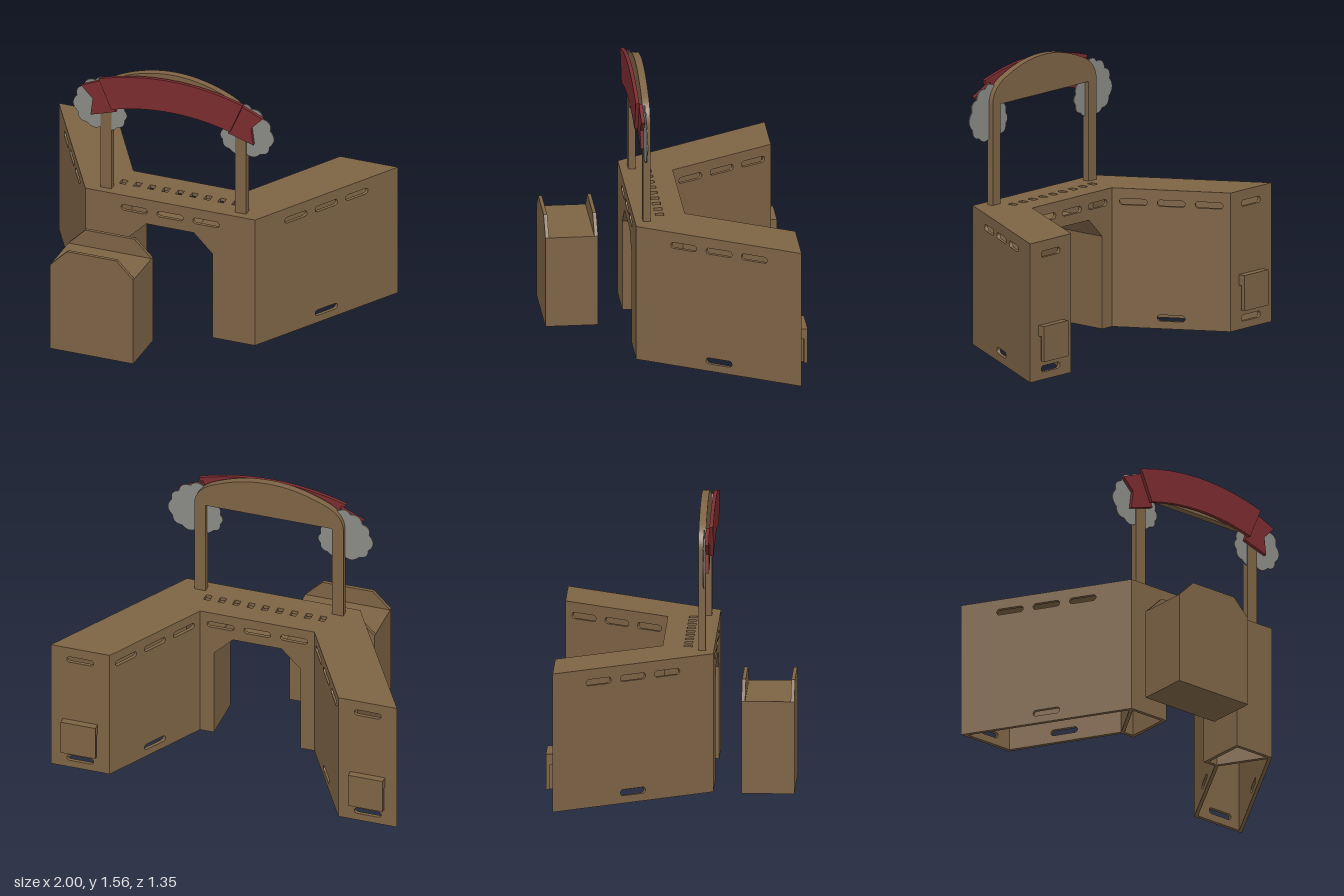
import * as THREE from 'three';

const T = 0.02; // board thickness

export function createModel() {
  const root = new THREE.Group();
  root.name = 'playCounter';
  const wood = new THREE.MeshStandardMaterial({ color: 0x7d6345 });
  wood.name = 'wood';
  const red = new THREE.MeshStandardMaterial({ color: 0x7b2c2f });
  red.name = 'red';
  const grey = new THREE.MeshStandardMaterial({ color: 0x8a8a86 });
  grey.name = 'grey';

  const add = (name, geo, mat, parent = root) => {
    const m = new THREE.Mesh(geo, mat);
    m.name = name;
    parent.add(m);
    return m;
  };
  const box = (name, w, h, d, x, y, z, parent) => {
    const m = add(name, new THREE.BoxGeometry(w, h, d), wood, parent);
    m.position.set(x, y, z);
    return m;
  };
  const poly = (pts) => new THREE.Shape(pts.map((p) => new THREE.Vector2(p[0], p[1])));
  const extrude = (shape, depth) =>
    new THREE.ExtrudeGeometry(shape, { depth, bevelEnabled: false, curveSegments: 16 });
  // front-facing board whose back lies at z
  const plate = (name, shape, depth, z, mat, parent) => {
    const m = add(name, extrude(shape, depth), mat, parent);
    m.position.z = z;
    return m;
  };

  // rounded hand slot
  const slot = (x, y) => {
    const r = 0.0175, h = 0.06, p = new THREE.Path();
    p.moveTo(x - h, y - r);
    p.lineTo(x + h, y - r);
    p.absarc(x + h, y, r, -Math.PI / 2, Math.PI / 2, false);
    p.lineTo(x - h, y + r);
    p.absarc(x - h, y, r, Math.PI / 2, Math.PI * 1.5, false);
    return p;
  };

  // doorway profile, widened by o
  const door = (o) => [
    [-0.25 - o, 0], [-0.25 - o, 0.52 + o * 0.4], [-0.14 - o * 0.4, 0.63 + o],
    [0.14 + o * 0.4, 0.63 + o], [0.25 + o, 0.52 + o * 0.4], [0.25 + o, 0],
  ];

  // counter plan, seen from above as [x, z]
  const plan = [
    [-0.5, 0.23], [0.5, 0.23], [1, -0.63], [0.66, -0.63],
    [0.33, -0.055], [-0.33, -0.055], [-0.66, -0.63], [-1, -0.63],
  ];
  const names = ['frontWall', 'leftOuterWall', 'leftEndWall', 'leftInnerWall',
    'backWall', 'rightInnerWall', 'rightEndWall', 'rightOuterWall'];
  const counter = new THREE.Group();
  counter.name = 'counter';
  root.add(counter);
  const H = 0.78 - T;
  const n = plan.length;
  const dir = (i) => {
    const a = plan[(i + n) % n], b = plan[(i + 1) % n];
    return new THREE.Vector2(b[0] - a[0], -(b[1] - a[1]));
  };

  // walls, mitred where they meet
  names.forEach((name, i) => {
    const d = dir(i), L = d.length();
    const mitre = (p, q) => T * Math.tan(Math.atan2(p.cross(q), p.dot(q)) / 2);
    const start = mitre(dir(i - 1), d), end = mitre(d, dir((i + 1) % n));
    const hasDoor = i === 0 || i === 4;
    const notch = hasDoor ? door(0).map(([x, y]) => [x + L / 2, y]) : [];
    const shape = poly([[0, 0], ...notch, [L, 0], [L, H], [0, H]]);
    const isEnd = i === 2 || i === 6;
    (isEnd ? [0] : [-0.212, 0, 0.212]).forEach((o) => shape.holes.push(slot(L / 2 + o, 0.705)));
    if (!hasDoor) shape.holes.push(slot(L / 2, 0.06));
    const geo = extrude(shape, T);
    geo.translate(0, 0, -T);
    const pos = geo.attributes.position;
    for (let k = 0; k < pos.count; k++) {
      if (pos.getZ(k) > -T / 2) continue;
      const u = pos.getX(k);
      if (u < 1e-4) pos.setX(k, u + start);
      else if (u > L - 1e-4) pos.setX(k, u - end);
    }
    geo.computeVertexNormals();
    const m = add(name, geo, wood, counter);
    m.position.set(plan[i][0], 0, plan[i][1]);
    m.rotation.y = Math.atan2(d.y, d.x);
  });

  // counter top with a row of square holes
  const top = poly(plan.map(([x, z]) => [x, -z]));
  for (let i = -4; i <= 4; i++) {
    const x = i * 0.0828, w = 0.018, h = 0.023, y = -0.085;
    top.holes.push(new THREE.Path([[x - w, y - h], [x + w, y - h], [x + w, y + h], [x - w, y + h]]
      .map((p) => new THREE.Vector2(...p))));
  }
  const topMesh = add('counterTop', extrude(top, T), wood, counter);
  topMesh.rotation.x = -Math.PI / 2;
  topMesh.position.y = H;

  // doorway lining
  plate('doorLining', poly([...door(T), ...door(0).reverse()]), 0.285 - 2 * T, -0.055 + T, wood, counter);

  for (const s of [1, -1]) {
    const side = s > 0 ? 'left' : 'right';
    // board dividing the wing from the middle
    const div = box(side + 'Divider', T, H, 0.29, s * 0.412, H / 2, 0.085, counter);
    div.rotation.y = s * Math.atan2(0.17, 0.285);
    // box on the wing end
    box(side + 'EndBoxCore', 0.16, 0.14, 0.02, s * 0.83, 0.18, -0.64, counter);
    box(side + 'EndBoxFront', 0.2, 0.2, 0.02, s * 0.83, 0.21, -0.66, counter);
    box(side + 'EndBoxTop', 0.2, 0.06, 0.02, s * 0.83, 0.28, -0.64, counter);
  }

  // stool
  const stool = new THREE.Group();
  stool.name = 'stool';
  stool.position.set(-0.285, 0, 0.53);
  root.add(stool);
  box('stoolBody', 0.49, 0.52, 0.25, 0, 0.26, 0, stool);
  const cheek = poly([[-0.245, 0], [0.245, 0], [0.245, 0.52], [0.145, 0.62], [-0.145, 0.62], [-0.245, 0.52]]);
  plate('stoolFront', cheek, T, 0.125, wood, stool);
  plate('stoolBack', cheek, T, -0.145, wood, stool);

  // arched sign frame
  const arch = new THREE.Shape();
  arch.moveTo(-0.43, H);
  arch.lineTo(-0.365, H);
  arch.lineTo(-0.365, 1.34);
  arch.lineTo(0.365, 1.34);
  arch.lineTo(0.365, H);
  arch.lineTo(0.43, H);
  arch.lineTo(0.43, 1.35);
  arch.quadraticCurveTo(0.425, 1.43, 0.34, 1.475);
  arch.quadraticCurveTo(0.17, 1.557, 0, 1.557);
  arch.quadraticCurveTo(-0.17, 1.557, -0.34, 1.475);
  arch.quadraticCurveTo(-0.425, 1.43, -0.43, 1.35);
  plate('signFrame', arch, 0.04, 0.145, wood);

  // ribbon banner
  const band = new THREE.Shape();
  band.moveTo(-0.35, 1.295);
  band.quadraticCurveTo(0, 1.395, 0.35, 1.295);
  band.lineTo(0.425, 1.472);
  band.quadraticCurveTo(0, 1.605, -0.425, 1.472);
  plate('bannerBand', band, 0.02, 0.205, red);
  for (const s of [1, -1]) {
    const tail = [[0.33, 1.275], [0.48, 1.228], [0.467, 1.33], [0.535, 1.4], [0.4, 1.46]];
    plate(s > 0 ? 'bannerTailLeft' : 'bannerTailRight',
      poly(tail.map(([x, y]) => [s * x, y])), 0.02, 0.185, red);
  }

  // scalloped clouds behind the banner ends
  const rim = [[0.4, 1.45], [0.46, 1.435], [0.53, 1.385], [0.57, 1.32], [0.565, 1.22], [0.51, 1.165],
    [0.42, 1.16], [0.33, 1.165], [0.29, 1.215], [0.29, 1.275], [0.33, 1.34]];
  for (const s of [1, -1]) {
    const cloud = new THREE.Shape();
    cloud.moveTo(s * rim[0][0], rim[0][1]);
    rim.forEach((a, i) => {
      const b = rim[(i + 1) % rim.length];
      const dx = b[0] - a[0], dy = b[1] - a[1];
      cloud.quadraticCurveTo(s * ((a[0] + b[0]) / 2 - dy * 0.5), (a[1] + b[1]) / 2 + dx * 0.5, s * b[0], b[1]);
    });
    plate(s > 0 ? 'cloudLeft' : 'cloudRight', cloud, 0.006, 0.173, grey);
  }
  return root;
}
